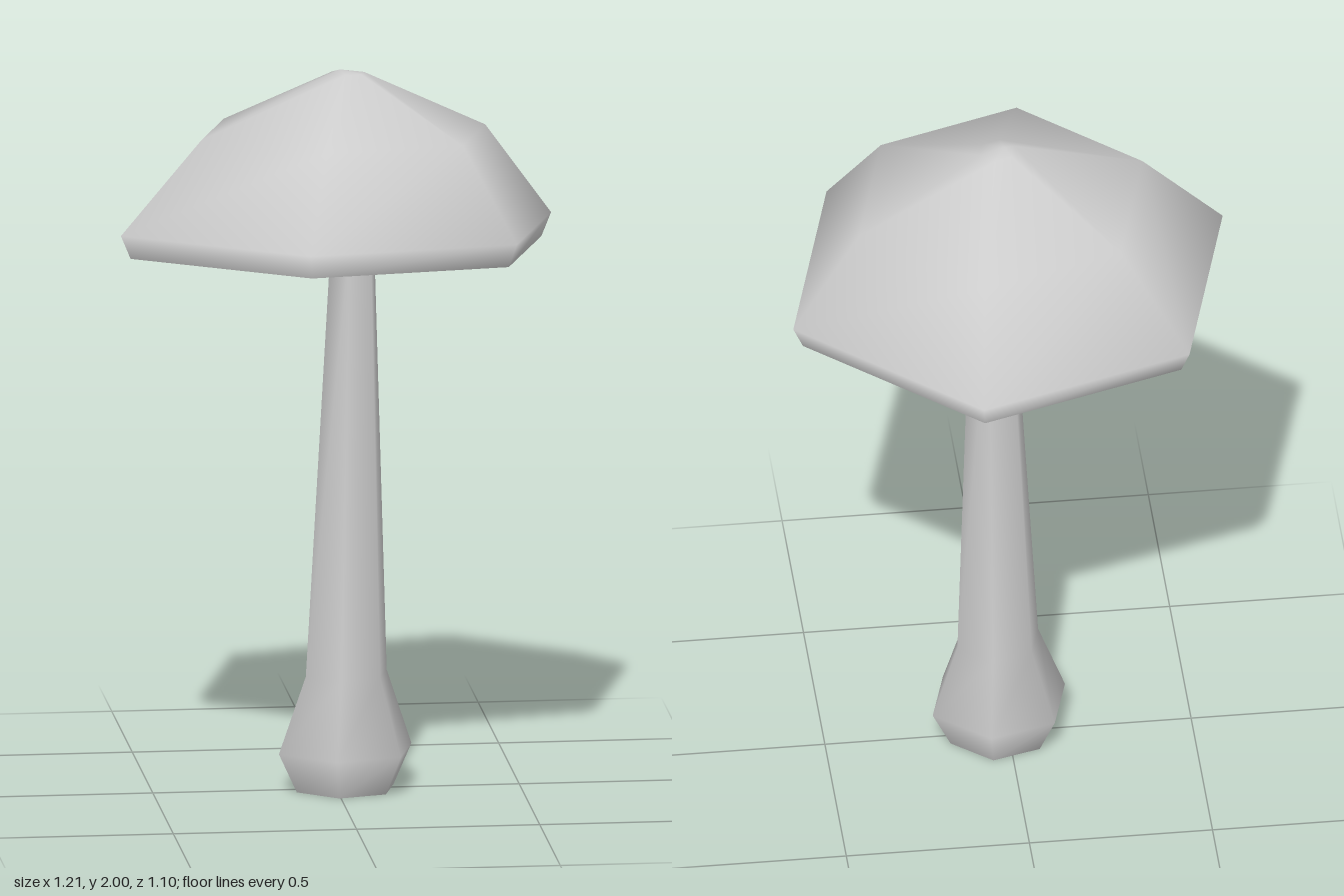
import * as THREE from 'three';

// Six-sided outline shared by cap and stem (x, z at the cap rim)
const HEX = [[0.605, -0.16], [0.45, 0.39], [-0.13, 0.552], [-0.605, 0.16], [-0.45, -0.392], [0.13, -0.552]];

// Skin between scaled outlines; each ring is [scale, height, x shift]
function loft(rings, tiltX, tiltZ, flat) {
  const pos = [], index = [], n = HEX.length;
  rings.forEach(([s, y, dx = 0], r) => {
    HEX.forEach(([x, z], i) => {
      pos.push(x * s + dx, y + s * (x * tiltX + z * tiltZ), z * s);
      if (r === 0) return;
      const j = (i + 1) % n, a = (r - 1) * n, b = r * n;
      if (rings[r - 1][0] > 0) index.push(a + i, b + i, a + j);
      if (s > 0) index.push(a + j, b + i, b + j);
    });
    // Tips collapse to one point: weld them so shading stays smooth
    if (s === 0) {
      const first = r * n;
      for (let k = 0; k < index.length; k++) {
        if (index[k] >= first && index[k] < first + n) index[k] = first;
      }
    }
  });
  let g = new THREE.BufferGeometry();
  g.setAttribute('position', new THREE.Float32BufferAttribute(pos, 3));
  g.setIndex(index);
  if (flat) g = g.toNonIndexed();
  g.computeVertexNormals();
  return g;
}

export function createModel() {
  const group = new THREE.Group();
  const grey = new THREE.MeshStandardMaterial({ color: 0xcccccc });
  grey.name = 'plain grey';

  const add = (name, geometry) => {
    const mesh = new THREE.Mesh(geometry, grey);
    mesh.name = name;
    group.add(mesh);
  };

  // Domed cap, leaning slightly back
  add('cap', loft([
    [0.955, 1.505], [1, 1.57], [0.66, 1.825, 0.02], [0.08, 1.99, 0.03], [0, 2, 0.01],
  ], -0.013, 0.066, false));

  // Faceted hollow underneath
  add('capUnderside', loft([
    [0, 1.61, 0.045], [0.58, 1.555], [0.955, 1.505],
  ], -0.013, 0.066, true));

  // Slender stem with a bulbous foot
  add('stem', loft([
    [0.225, 0, 0.025], [0.308, 0.11, 0.025], [0.188, 0.32, 0.028], [0.1, 1.53, 0.045], [0.098, 1.63, 0.045],
  ], 0, 0, false));
  add('stemBase', loft([[0, 0, 0.025], [0.225, 0, 0.025]], 0, 0, true));

  return group;
}
